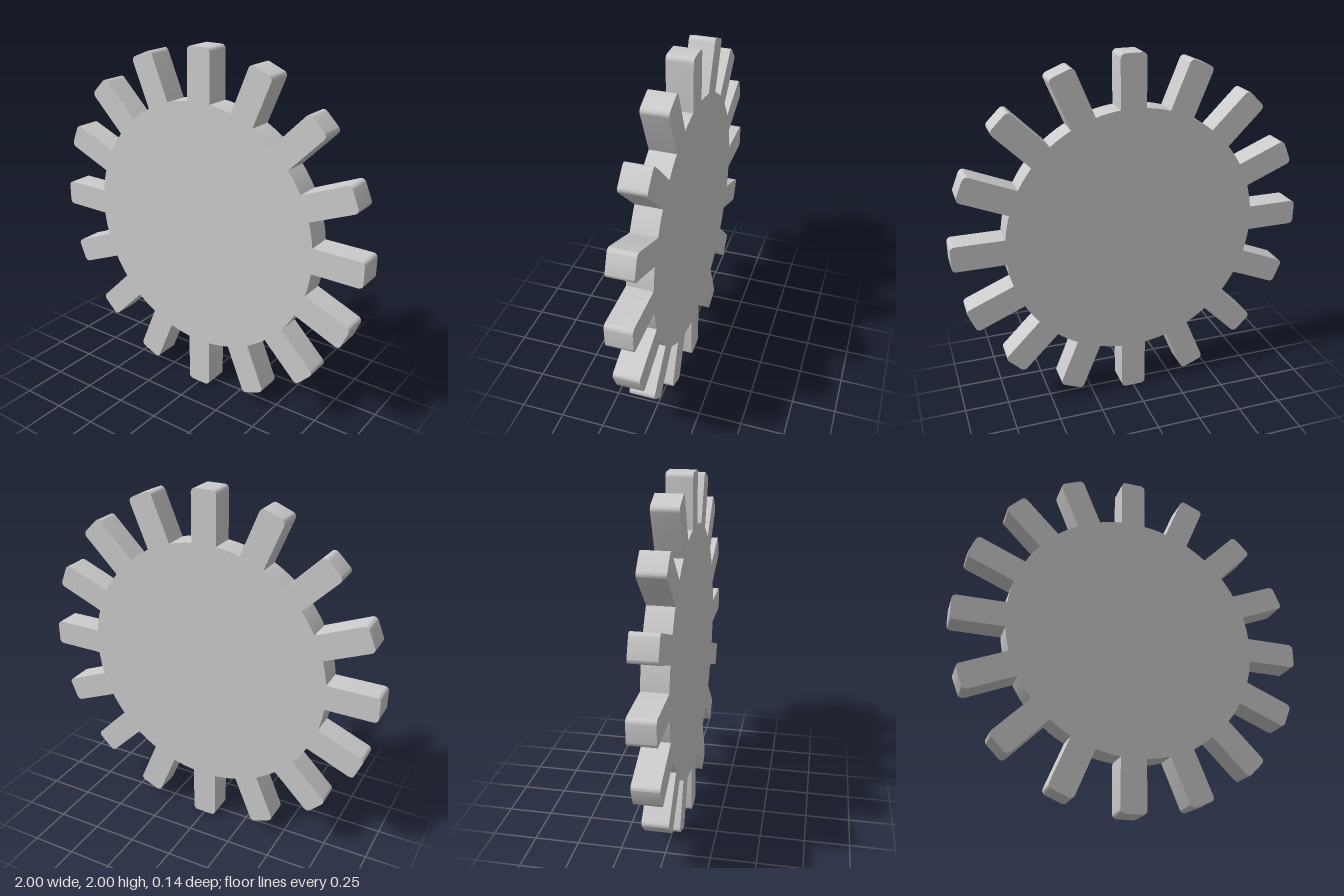
import * as THREE from 'three';
import { toCreasedNormals } from 'three/addons/utils/BufferGeometryUtils.js';

const TEETH = 16;
const TIP = 1;            // outer radius
const ROOT = 0.714;       // radius of the disc between teeth
const HALF_WIDTH = 0.0715;
const CORNER = 0.025;     // rounding of the tooth tips
const DEPTH = 0.143;
const STEPS = 6;          // segments per arc

// Points of an arc, both ends included
function arc(cx, cy, radius, from, to) {
  return Array.from({ length: STEPS + 1 }, (_, i) => {
    const a = from + (to - from) * i / STEPS;
    return new THREE.Vector2(cx + radius * Math.cos(a), cy + radius * Math.sin(a));
  });
}

function gearOutline() {
  const pitch = Math.PI * 2 / TEETH;
  const rootAngle = Math.asin(HALF_WIDTH / ROOT);
  const cx = TIP - CORNER, cy = HALF_WIDTH - CORNER;

  // One tooth pointing along +x, then the root arc up to the next tooth
  const section = [
    ...arc(cx, -cy, CORNER, -Math.PI / 2, 0),
    ...arc(cx, cy, CORNER, 0, Math.PI / 2),
    ...arc(0, 0, ROOT, rootAngle, pitch - rootAngle),
  ];
  const points = [];
  const origin = new THREE.Vector2();
  for (let i = 0; i < TEETH; i++) {
    points.push(...section.map((p) => p.clone().rotateAround(origin, i * pitch)));
  }
  return new THREE.Shape(points);
}

export function createModel() {
  const group = new THREE.Group();
  group.name = 'gear';

  // Solid disc with straight teeth, standing upright and facing +z
  const geometry = new THREE.ExtrudeGeometry(gearOutline(), { depth: DEPTH, bevelEnabled: false });
  geometry.translate(0, TIP, -DEPTH / 2);
  const wheel = new THREE.Mesh(
    toCreasedNormals(geometry, Math.PI / 6),
    new THREE.MeshStandardMaterial({ color: 0xcccccc }),
  );
  wheel.name = 'toothedWheel';
  group.add(wheel);
  return group;
}
